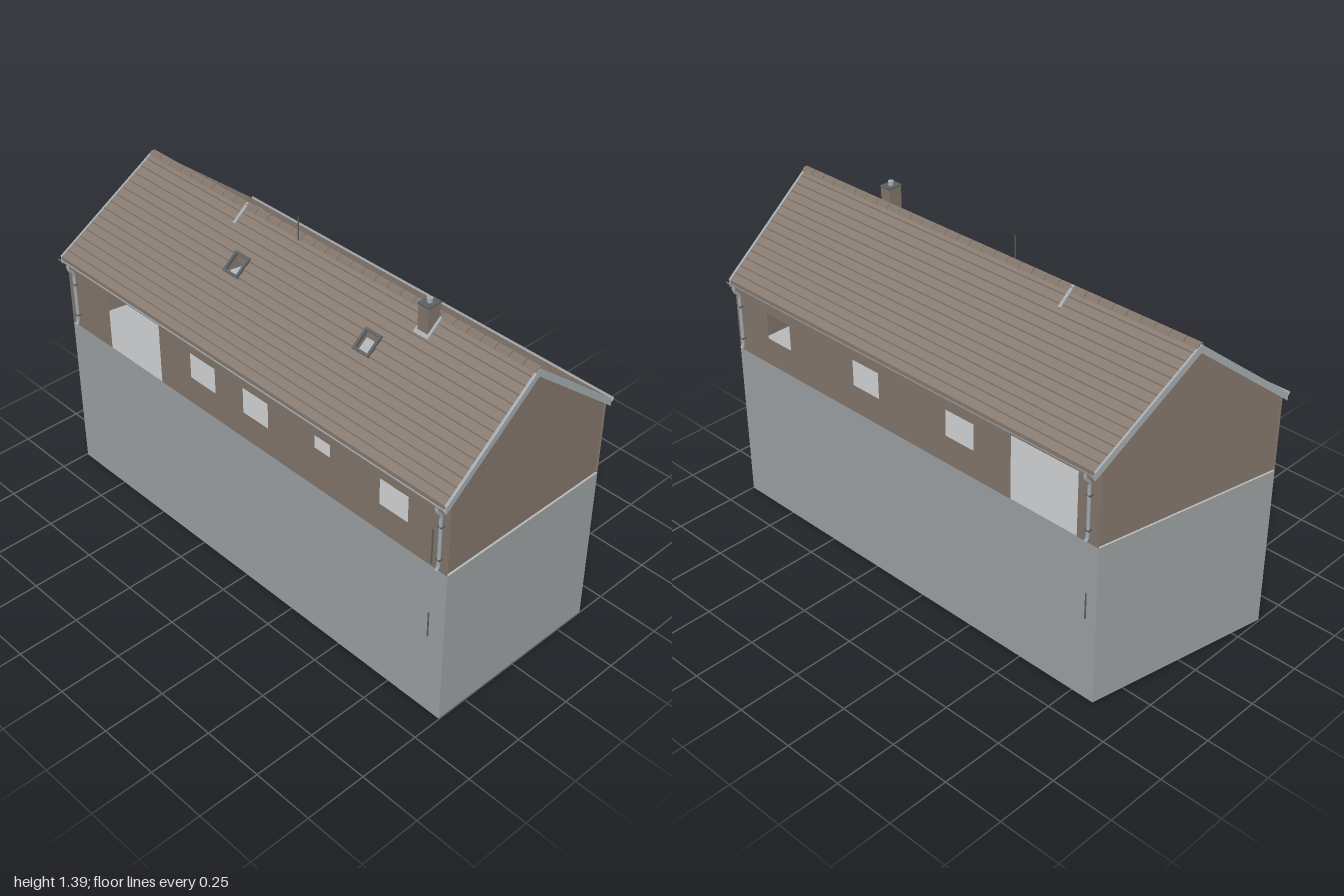
import * as THREE from 'three';

const mat = (name, color, double) => {
  const m = new THREE.MeshStandardMaterial({ color });
  m.name = name;
  if (double) m.side = THREE.DoubleSide;
  return m;
};

// Plan: straight right end, skewed left end
const WALL = 0.38, EAVE = 0.405, RIDGE = 1.31, SLOPE = 0.33 / EAVE;
const left = (z) => -1 + (EAVE - z) * 0.195;
const roofY = (z) => RIDGE - SLOPE * Math.abs(z);
const right = () => 0.998;

// Solid with a (z, y) cross-section, running between two end rules in x
function prism(section, x0, x1) {
  const g = new THREE.ExtrudeGeometry(
    new THREE.Shape(section.map(([z, y]) => new THREE.Vector2(-z, y))),
    { depth: 1, bevelEnabled: false });
  g.rotateY(Math.PI / 2);
  const p = g.attributes.position;
  for (let i = 0; i < p.count; i++) {
    const z = p.getZ(i);
    p.setX(i, x0(z) + (x1(z) - x0(z)) * p.getX(i));
  }
  g.computeVertexNormals();
  return g;
}

// Flat panel with a (z, y) outline, placed at x = rule(z)
function endPanel(outline, rule, flip) {
  const g = new THREE.ShapeGeometry(
    new THREE.Shape(outline.map(([z, y]) => new THREE.Vector2(flip ? z : -z, y))));
  g.rotateY(flip ? -Math.PI / 2 : Math.PI / 2);
  const p = g.attributes.position;
  for (let i = 0; i < p.count; i++) p.setX(i, rule(p.getZ(i)));
  g.computeVertexNormals();
  return g;
}

// Long panel with rectangular openings [x0, x1, y0, y1]
function sidePanel(z, y0, y1, openings = []) {
  const l = left(z), r = right(), back = z < 0 ? -1 : 1;
  const rect = (C, a, b, c, d) => new C(
    [[a, c], [b, c], [b, d], [a, d]].map(([x, y]) => new THREE.Vector2(x * back, y)));
  const s = rect(THREE.Shape, l, r, y0, y1);
  for (const o of openings) s.holes.push(rect(THREE.Path, ...o));
  const g = new THREE.ShapeGeometry(s);
  if (back < 0) g.rotateY(Math.PI);
  return g.translate(0, 0, z);
}

export function createModel() {
  const root = new THREE.Group();
  root.name = 'house';
  const brick = mat('brown wall', 0x83766b, true);
  const tile = mat('brown roof tile', 0x877a70);
  const stone = mat('grey base', 0x9da1a3, true);
  const floorMat = mat('light floor', 0xb6b8b9, true);
  const metal = mat('light grey trim', 0xa4aaae, true);
  const dark = mat('dark grey metal', 0x5c5f61);

  const add = (name, geo, m, parent = root) => {
    const mesh = new THREE.Mesh(geo, m);
    mesh.name = name;
    parent.add(mesh);
    return mesh;
  };
  const box = (name, m, w, h, d, x, y, z, parent) => {
    const b = add(name, new THREE.BoxGeometry(w, h, d), m, parent);
    b.position.set(x, y, z);
    return b;
  };
  const group = (name) => {
    const g = new THREE.Group();
    g.name = name;
    root.add(g);
    return g;
  };

  // Base storey, open underneath, with the floor on top
  const B = 0.67;
  const baseEnd = [[WALL, 0], [-WALL, 0], [-WALL, B], [WALL, B]];
  add('baseFront', sidePanel(WALL, 0, B), stone);
  add('baseBack', sidePanel(-WALL, 0, B), stone);
  add('baseRight', endPanel(baseEnd, right), stone);
  add('baseLeft', endPanel(baseEnd, left, true), stone);
  const floor = new THREE.Shape([[left(WALL), -WALL], [0.998, -WALL], [0.998, WALL], [left(-WALL), WALL]]
    .map(([x, y]) => new THREE.Vector2(x, y)));
  add('floor', new THREE.ShapeGeometry(floor).rotateX(-Math.PI / 2).translate(0, B, 0), floorMat);

  // Upper walls with window and gate openings
  const gate = [-0.75, -0.45, B + 0.001, 0.935];
  const win = (x0, x1, y0 = 0.785) => [x0, x1, y0, 0.893];
  add('frontWall', sidePanel(WALL, B, 0.985,
    [gate, win(-0.275, -0.14), win(0.01, 0.14), win(0.375, 0.45, 0.84), win(0.685, 0.815)]), brick);
  add('backWall', sidePanel(-WALL, B, 0.985,
    [gate, win(-0.275, -0.14), win(0.2, 0.335), win(0.685, 0.815)]), brick);
  const gable = [[WALL, B], [-WALL, B], [-WALL, 0.985], [0, 1.295], [WALL, 0.985]];
  add('rightGable', endPanel(gable, () => 0.99), brick);
  add('leftGable', endPanel(gable, (z) => left(z) + 0.008, true), brick);

  // Roof: stepped tile courses, leaving two skylight gaps in the front slope
  const ROWS = 15, STEP = EAVE / ROWS, T = 0.026;
  const roof = group('roof');
  const leftIn = (z) => left(z) + 0.006;
  for (const s of [1, -1]) {
    for (let i = 0; i < ROWS; i++) {
      const a = i * STEP, b = a + STEP;
      const section = [[s * a, roofY(a) - 0.005], [s * b, roofY(b) + 0.001],
        [s * b, roofY(b) - T], [s * a, roofY(a) - T]];
      const cuts = s > 0 && (i === 5 || i === 6)
        ? [[leftIn, () => -0.285], [() => -0.227, () => 0.37], [() => 0.43, () => 0.992]]
        : [[leftIn, () => 0.992]];
      for (const [x0, x1] of cuts) add('tileCourse', prism(section, x0, x1), tile, roof);
    }
    // Verge boards on both gable ends
    const verge = [[0, RIDGE + 0.001], [s * EAVE, roofY(EAVE) + 0.001],
      [s * EAVE, roofY(EAVE) - 0.03], [0, RIDGE - 0.03]];
    add('vergeRight', prism(verge, () => 0.99, () => 1), metal, roof);
    add('vergeLeft', prism(verge, left, (z) => left(z) + 0.008), metal, roof);
  }

  // Ridge tiles
  for (let i = 0; i < 32; i++) {
    const x0 = left(0) + 0.005 + i * 0.06;
    add('ridgeTile', prism([[-0.016, 1.298], [0.016, 1.298], [0.008, 1.314], [-0.008, 1.314]],
      () => x0, () => Math.min(x0 + 0.057, 0.998)), tile, roof);
  }

  // Skylight frames lying on the slope
  const angle = Math.atan(SLOPE);
  for (const x of [-0.256, 0.4]) {
    const f = group('skylight');
    f.position.set(x, roofY(0.162) + 0.003, 0.162);
    f.rotation.x = angle;
    for (const e of [-1, 1]) {
      box('frameSide', dark, 0.01, 0.012, 0.082, e * 0.033, 0, 0, f);
      box('frameRail', dark, 0.076, 0.012, 0.01, 0, 0, e * 0.038, f);
    }
  }

  // Strip laid over the ridge
  for (const s of [1, -1]) {
    const strip = box('ridgeStrip', metal, 0.012, 0.006, 0.09, -0.375, roofY(0.034) + 0.005, s * 0.034);
    strip.rotation.x = s * angle;
  }

  // Chimney with flashing and pot
  box('chimneyStack', brick, 0.046, 0.14, 0.058, 0.56, 1.293, 0.041);
  box('chimneyCap', dark, 0.05, 0.006, 0.062, 0.56, 1.363, 0.041);
  const flashing = box('chimneyFlashing', metal, 0.066, 0.008, 0.088, 0.56, roofY(0.045) + 0.003, 0.045);
  flashing.rotation.x = angle;
  add('chimneyPot', new THREE.CylinderGeometry(0.011, 0.011, 0.02, 12), metal).position.set(0.56, 1.372, 0.041);

  // Mast
  add('mast', new THREE.CylinderGeometry(0.0025, 0.0025, 0.1, 6), dark).position.set(-0.09, 1.345, 0.018);

  // Gutters and downpipes on both long sides
  for (const s of [1, -1]) {
    const z = s * 0.407, l = left(z) + 0.004;
    const gutter = new THREE.CylinderGeometry(0.014, 0.014, 0.998 - l, 10, 1, true, 0, Math.PI);
    gutter.rotateZ(Math.PI / 2).rotateX(0);
    gutter.computeBoundingBox();
    if (gutter.boundingBox.max.y > 0.007) gutter.rotateX(Math.PI);
    add('gutter', gutter, metal).position.set((l + 0.998) / 2, 0.978, z);
    for (const x of [s > 0 ? -0.948 : -0.805, 0.965]) {
      const path = new THREE.CatmullRomCurve3([[0.412, 0.965], [0.411, 0.945], [0.391, 0.918],
        [0.39, 0.89], [0.39, 0.71], [0.392, 0.697], [0.4, 0.688]]
        .map(([pz, py]) => new THREE.Vector3(x, py, s * pz)), false, 'centripetal');
      add('downpipe', new THREE.TubeGeometry(path, 24, 0.007, 8), metal);
      for (const y of [0.73, 0.87]) box('pipeClip', dark, 0.019, 0.006, 0.016, x, y, s * 0.388);
    }
    // Thin conduit set into the wall
    const cx = s > 0 ? 0.927 : -0.8;
    box('conduitUpper', dark, 0.005, 0.15, 0.004, cx, 0.755, s * 0.381);
    box('conduitLower', dark, 0.005, 0.11, 0.004, cx, 0.405, s * 0.381);
  }
  return root;
}
